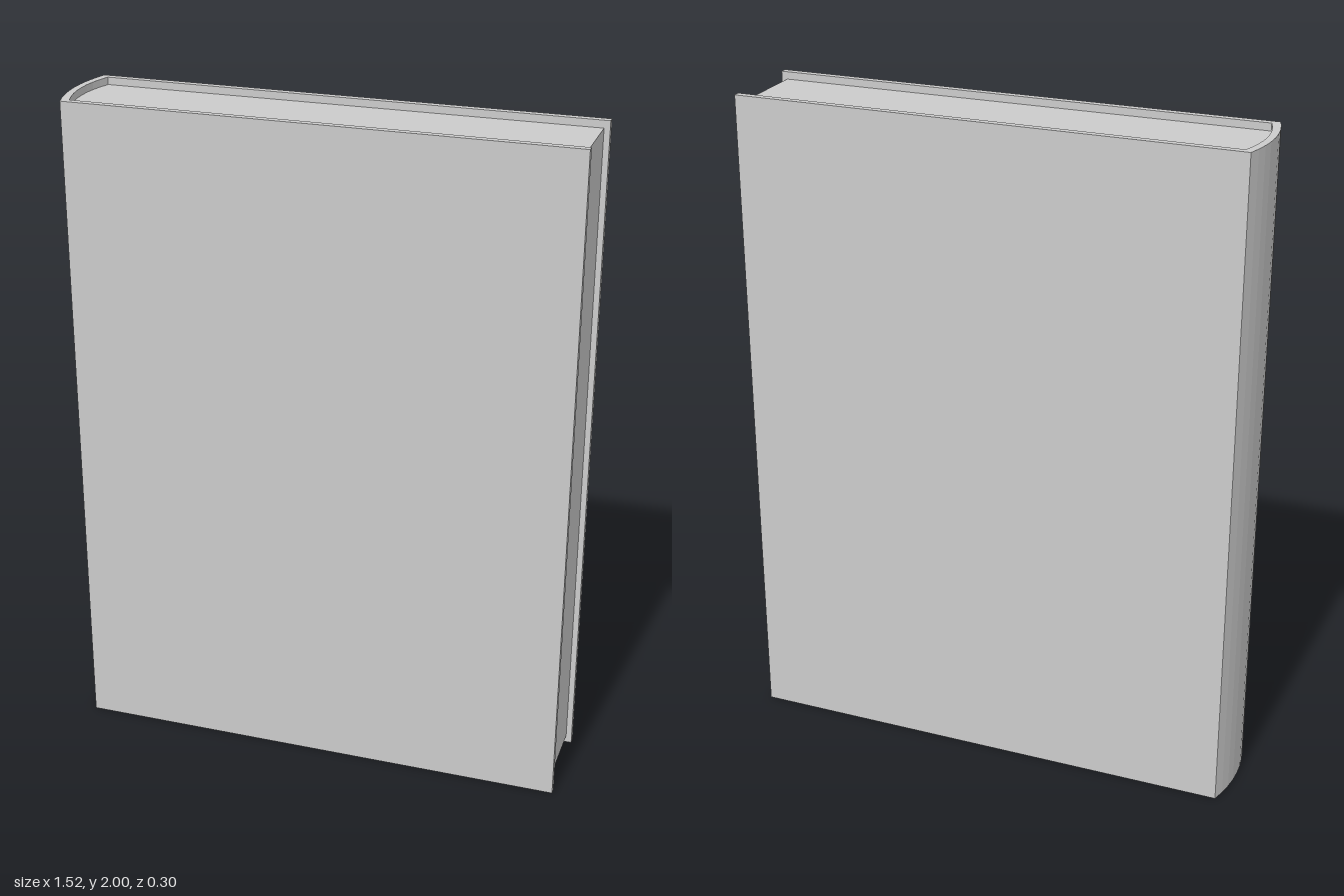
import * as THREE from 'three';

const SPINE_SEGMENTS = 8;

// Points of a gently bowed spine, from z = -half to z = +half
function spineCurve(edgeX, bow, half) {
  const points = [];
  for (let i = 0; i <= SPINE_SEGMENTS; i++) {
    const t = (i / SPINE_SEGMENTS) * 2 - 1;
    points.push(new THREE.Vector2(edgeX - bow * (1 - t * t), half * t));
  }
  return points;
}

// Extrudes a plan outline upward between two heights
function standing(name, outline, bottom, top, material) {
  const geometry = new THREE.ExtrudeGeometry(new THREE.Shape(outline), {
    depth: top - bottom, bevelEnabled: false,
  });
  geometry.rotateX(-Math.PI / 2).translate(0, bottom, 0);
  const mesh = new THREE.Mesh(geometry, material);
  mesh.name = name;
  return mesh;
}

export function createModel() {
  const group = new THREE.Group();
  group.name = 'book';
  const material = new THREE.MeshStandardMaterial({ color: 0xcccccc, flatShading: true });

  const coverEdge = 0.76, pageEdge = 0.743;
  const outerHalf = 0.152, innerHalf = 0.131;
  const outer = spineCurve(-0.738, 0.025, outerHalf);
  const inner = spineCurve(-0.718, 0.024, innerHalf);

  // Cover: two boards joined by the curved spine
  const coverOutline = [
    new THREE.Vector2(coverEdge, -outerHalf),
    ...outer,
    new THREE.Vector2(coverEdge, outerHalf),
    new THREE.Vector2(coverEdge, innerHalf),
    ...inner.slice().reverse(),
    new THREE.Vector2(coverEdge, -innerHalf),
  ];
  group.add(standing('cover', coverOutline, 0, 2, material));

  // Page block: fills the cover, set back at the top, bottom and fore edge
  const pageOutline = [
    new THREE.Vector2(pageEdge, -innerHalf),
    ...inner,
    new THREE.Vector2(pageEdge, innerHalf),
  ];
  group.add(standing('pages', pageOutline, 0.022, 1.978, material));

  return group;
}
